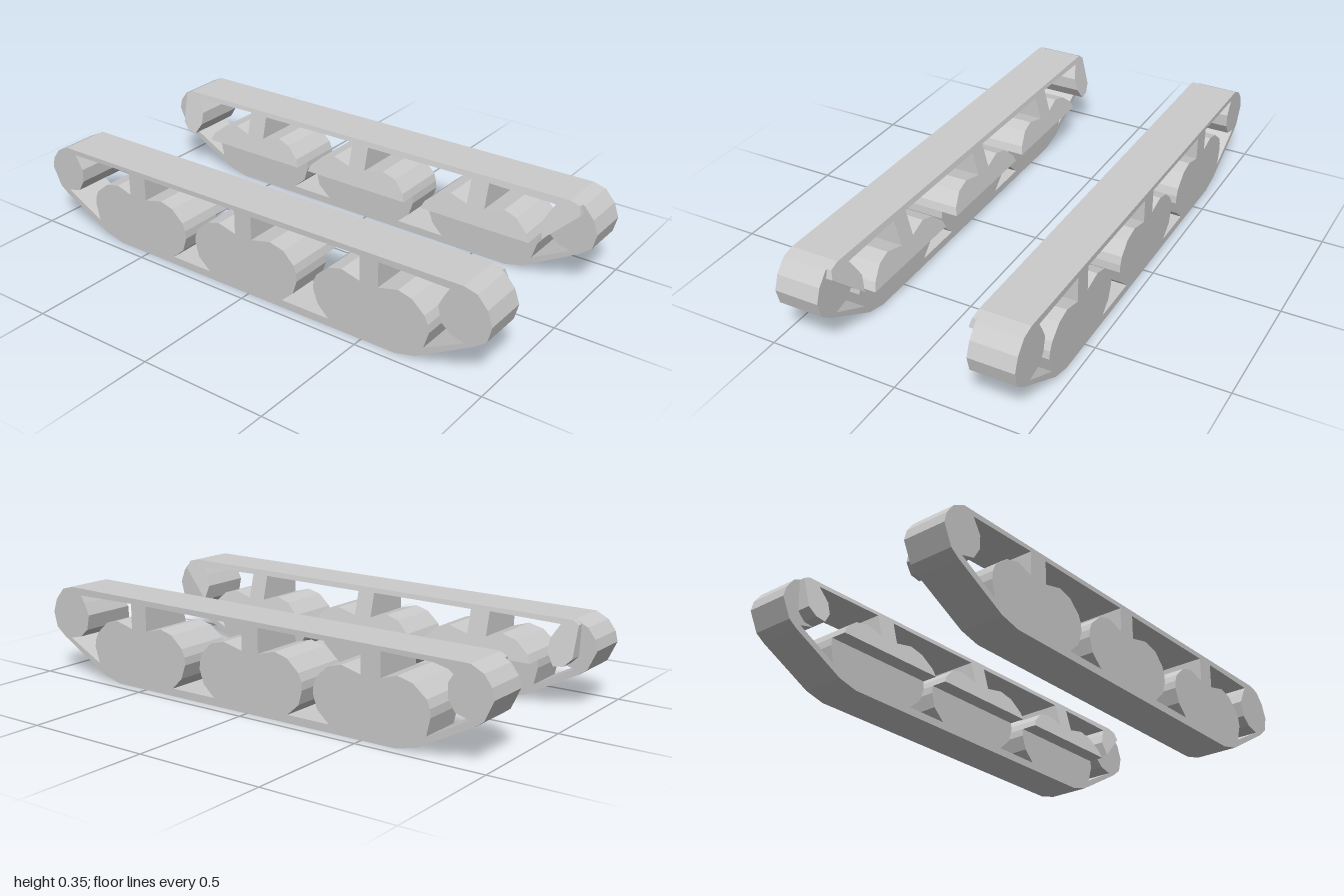
import * as THREE from 'three';

const INNER = 0.287, OUTER = 0.46, LEDGE = 0.16;

// Side profile of the whole track
const outline = [
  [-0.64, 0], [0.64, 0], [0.72, 0.02], [0.94, 0.145], [0.985, 0.18], [1, 0.24], [0.98, 0.295],
  [0.94, 0.34], [0.89, 0.353], [-0.91, 0.335], [-0.96, 0.31], [-0.99, 0.27], [-1, 0.23],
  [-0.965, 0.155], [-0.93, 0.13], [-0.72, 0.02],
];

// Openings between wheels, each from its lower left, over the top, to its lower right
const openings = [
  [[-0.915, 0.15], [-0.86, 0.165], [-0.832, 0.21], [-0.832, 0.26], [-0.865, 0.315], [-0.575, 0.322],
    [-0.575, 0.23], [-0.64, 0.25], [-0.7, 0.235], [-0.755, 0.19], [-0.768, 0.16], [-0.77, 0.13], [-0.755, 0.065]],
  [[-0.365, 0.03], [-0.315, 0.075], [-0.297, 0.13], [-0.3, 0.16], [-0.312, 0.19], [-0.36, 0.235],
    [-0.415, 0.25], [-0.495, 0.23], [-0.495, 0.32], [-0.055, 0.325], [-0.055, 0.23], [-0.13, 0.25],
    [-0.185, 0.235], [-0.235, 0.19], [-0.248, 0.16], [-0.25, 0.13], [-0.235, 0.075], [-0.185, 0.03]],
  [[0.155, 0.03], [0.205, 0.075], [0.223, 0.13], [0.22, 0.16], [0.21, 0.19], [0.165, 0.235],
    [0.105, 0.25], [0.02, 0.23], [0.02, 0.323], [0.49, 0.328], [0.49, 0.23], [0.415, 0.25],
    [0.36, 0.235], [0.31, 0.19], [0.297, 0.16], [0.295, 0.13], [0.315, 0.075], [0.36, 0.03]],
  [[0.75, 0.065], [0.77, 0.13], [0.765, 0.16], [0.75, 0.19], [0.7, 0.235], [0.645, 0.25],
    [0.565, 0.23], [0.565, 0.328], [0.84, 0.325], [0.822, 0.295], [0.8, 0.25], [0.813, 0.19],
    [0.85, 0.158], [0.905, 0.145]],
];

const points = list => list.map(([x, y]) => new THREE.Vector2(x, y));

// Extrude a shape, then place its two faces by a depth rule
function slab(shape, zBack, zFront) {
  const geometry = new THREE.ExtrudeGeometry(shape, { depth: 1, bevelEnabled: false });
  const p = geometry.attributes.position;
  for (let i = 0; i < p.count; i++) {
    p.setZ(i, p.getZ(i) < 0.5 ? zBack(p.getY(i)) : zFront(p.getY(i)));
  }
  geometry.computeVertexNormals();
  return geometry;
}

export function createModel() {
  const model = new THREE.Group();
  model.name = 'trackPair';
  const material = new THREE.MeshStandardMaterial({ color: 0xcccccc, flatShading: true });

  // Main track with its openings
  const trackShape = new THREE.Shape(points(outline));
  for (const opening of openings) trackShape.holes.push(new THREE.Path(points(opening)));

  // Upper half of wheels, posts and rail, continued inward above the ledge
  const upper = openings.flat().filter(([, y]) => y >= LEDGE);
  const mountShape = new THREE.Shape(points([
    [-0.93, 0.2], [-0.9, 0.17], ...upper, [0.94, 0.31], [0.93, 0.343], [0.89, 0.353],
    [-0.91, 0.335], [-0.935, 0.32],
  ]));
  const slope = y => 0.222 + (y - LEDGE) * 0.26;

  for (const side of [1, -1]) {
    const group = new THREE.Group();
    group.name = side > 0 ? 'frontTrack' : 'backTrack';
    const add = (name, shape, inner, outer) => {
      const geometry = side > 0
        ? slab(shape, inner, outer)
        : slab(shape, y => -outer(y), y => -inner(y));
      const mesh = new THREE.Mesh(geometry, material);
      mesh.name = name;
      group.add(mesh);
    };
    add('trackAndWheels', trackShape, () => INNER, () => OUTER);
    add('slopedInnerMount', mountShape, slope, () => INNER);
    model.add(group);
  }
  return model;
}
